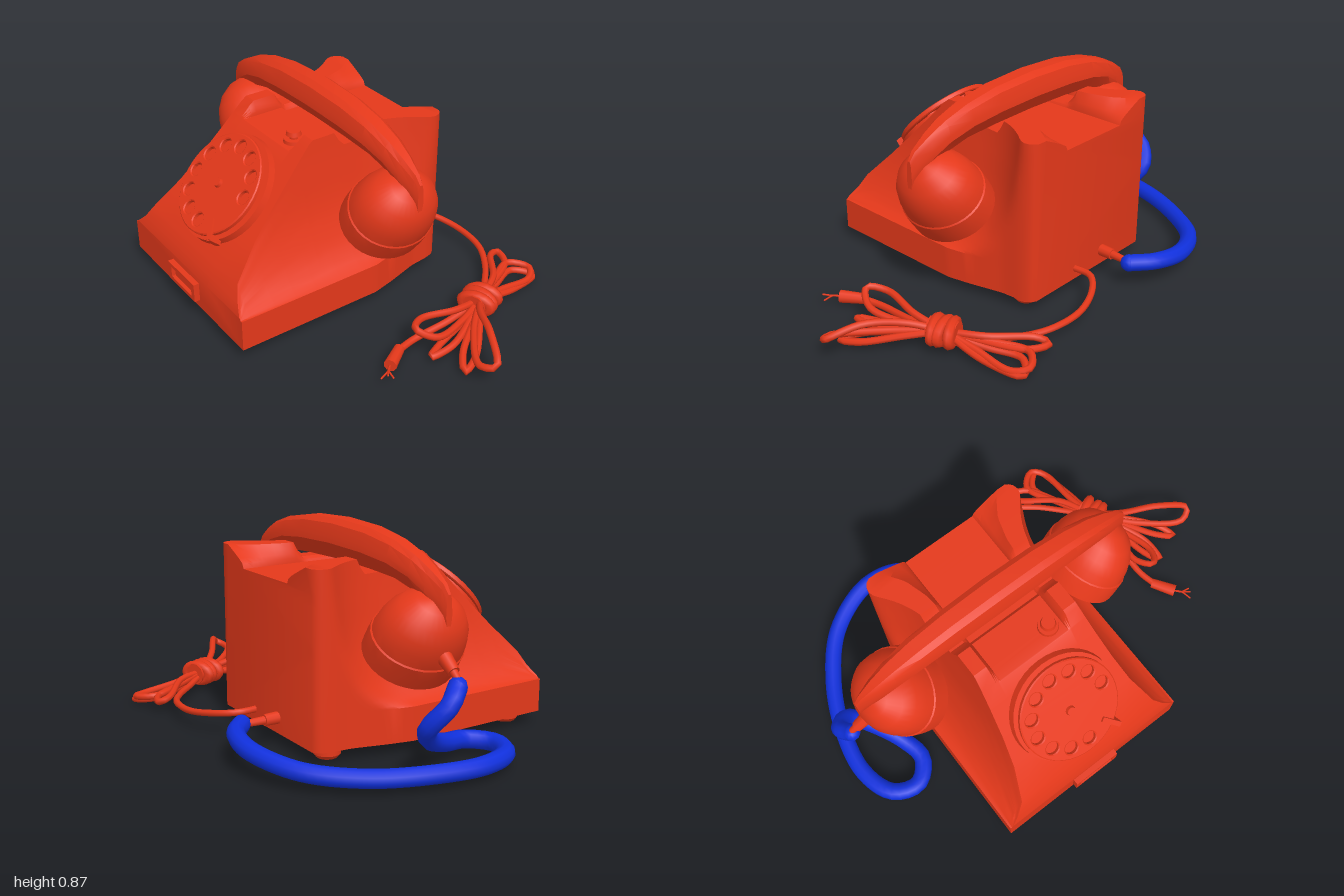
import * as THREE from 'three';
import { toCreasedNormals } from 'three/addons/utils/BufferGeometryUtils.js';

const V = (x, y, z) => new THREE.Vector3(x, y, z);
const red = new THREE.MeshStandardMaterial({ color: 0xe4381a });
const blue = new THREE.MeshStandardMaterial({ color: 0x1030dc });

function add(parent, name, geometry, material = red) {
  const mesh = new THREE.Mesh(geometry, material);
  mesh.name = name;
  parent.add(mesh);
  return mesh;
}

// piecewise linear lookup in [key, value] rows with descending keys
function lookup(rows, k) {
  if (k >= rows[0][0]) return rows[0][1];
  for (let i = 1; i < rows.length; i++) {
    const [k0, v0] = rows[i - 1], [k1, v1] = rows[i];
    if (k >= k1) return v0 + (v1 - v0) * (k0 - k) / (k0 - k1);
  }
  return rows[rows.length - 1][1];
}

// minimum with a small rounded transition
function softMin(a, b, k) {
  const t = Math.max(k - Math.abs(a - b), 0) / k;
  return Math.min(a, b) - t * t * k / 4;
}

// skin closed rings running backwards along an axis; flat() maps a ring to 2D for the caps
function loft(rings, flat, crease) {
  const n = rings[0].length, index = [];
  for (let j = 0; j < rings.length - 1; j++) {
    for (let i = 0; i < n; i++) {
      const a = j * n + i, b = j * n + (i + 1) % n;
      index.push(a, a + n, b, b, a + n, b + n);
    }
  }
  const last = (rings.length - 1) * n;
  for (const [a, b, c] of THREE.ShapeUtils.triangulateShape(rings[0].map(flat), [])) index.push(a, b, c);
  for (const [a, b, c] of THREE.ShapeUtils.triangulateShape(rings[rings.length - 1].map(flat), [])) {
    index.push(last + a, last + c, last + b);
  }
  const geometry = new THREE.BufferGeometry().setFromPoints(rings.flat());
  geometry.setIndex(index);
  return toCreasedNormals(geometry, crease);
}

// tapered round rod between two points
function rod(parent, name, a, b, ra, rb, sides = 10) {
  const mesh = add(parent, name, new THREE.CylinderGeometry(rb, ra, a.distanceTo(b), sides));
  mesh.position.copy(a).lerp(b, 0.5);
  mesh.quaternion.setFromUnitVectors(V(0, 1, 0), b.clone().sub(a).normalize());
}

function cord(parent, name, pts, r, segments, material = red, sides = 7) {
  const curve = new THREE.CatmullRomCurve3(pts.map(p => V(...p)));
  add(parent, name, new THREE.TubeGeometry(curve, segments, r, sides), material);
  for (const t of [0, 1]) {
    const end = add(parent, name + 'End', new THREE.SphereGeometry(r, sides, 6), material);
    end.position.copy(curve.getPoint(t));
  }
}

// housing: scooped sides, sloping front, cradle notch and flared rear horns
function bodyGeometry() {
  const outer = [[0, .45], [-.1, .428], [-.25, .387], [-.34, .378], [-.375, .368], [-.39, .357], [-.4, .34]];
  const top = [[.66, .2], [.64, .24], [.615, .297], [.2, .737], [.18, .752], [.075, .752], [.055, .715],
    [.03, .69], [-.11, .69], [-.13, .715], [-.15, .752]];
  const floor = [[.245, .9], [.24, .69], [.05, .69], [.04, .67], [-.4, .67]];
  const scoop = [[.75, .25], [.65, .262], [.5, .285], [.42, .304], [.35, .33], [.3, .352], [.26, .375], [.215, .41], [.19, .45]];
  const inner = [[-.1, .19], [-.2, .2], [-.3, .23], [-.36, .27], [-.4, .3]];
  const stations = [.66, .64, .615, .5, .4, .3, .245, .24, .2, .18, .075, .055, .04, .03];
  for (let i = 0; i <= 5; i++) stations.push(-.022 * i);
  stations.push(-.13, -.15);
  for (let i = 1; i <= 10; i++) stations.push(-.15 - .0225 * i);
  stations.push(-.39, -.4);
  const rings = stations.map(z => {
    const W = lookup(outer, z), h = lookup(top, z), f = Math.min(h, lookup(floor, z));
    const flare = .14 * Math.pow(Math.max(0, -z) / .35, 2.5);
    const half = [[W, .05], [W, .19]];
    for (let i = 1; i <= 16; i++) {
      const y = .19 + (h - .19) * Math.pow(i / 16, 1.4);
      half.push([softMin(W, lookup(scoop, y) + flare, .03), y]);
    }
    // concave inside of the horn
    const xi = Math.min(lookup(inner, z), half[17][0] - .01);
    for (let i = 0; i <= 4; i++) {
      const a = i / 4 * Math.PI / 2;
      half.push([.17 + (xi - .17) * (1 - Math.sin(a)), f + (h - f) * Math.cos(a) ** 1.2 * (1 - .3 * Math.sin(2 * a))]);
    }
    const mirrored = half.map(([x, y]) => [-x, y]).reverse();
    return [...half, ...mirrored].map(([x, y]) => V(x, y, z));
  });
  return loft(rings, p => new THREE.Vector2(p.x, p.y), 0.6);
}

// handle: arched bar, broad in the middle and blade-like at the ends
function handleGeometry() {
  const rows = [[.675, .675, .53, .014], [.65, .71, .55, .022], [.58, .755, .61, .042], [.5, .795, .66, .056],
    [.38, .833, .69, .067], [.22, .86, .7, .073], [0, .87, .705, .076]];
  const all = [...rows, ...rows.slice(0, -1).reverse().map(([x, ...r]) => [-x, ...r])];
  // counter-clockwise seen from +x, starting low at the back
  const section = [[-.4, 0], [.4, 0], [1, .42], [.95, .6], [.75, .88], [.4, 1], [-.4, 1], [-.75, .88], [-.95, .6], [-1, .42]];
  const rings = all.map(([x, t, b, w]) => section.map(([s, k]) => V(x, b + (t - b) * k, -.03 - s * w)));
  return loft(rings, p => new THREE.Vector2(-p.z, p.y), 0.6);
}

function buildDial() {
  const dial = new THREE.Group();
  dial.name = 'dial';
  const disc = (name, r0, r1, z0, z1) => {
    const mesh = add(dial, name, new THREE.CylinderGeometry(r1, r0, z1 - z0, 40));
    mesh.rotation.x = Math.PI / 2;
    mesh.position.z = (z0 + z1) / 2;
  };
  disc('dialBase', .245, .238, -.02, .03);
  disc('dialHub', .1, .1, .02, .06);
  const plate = new THREE.Shape().absarc(0, 0, .22, 0, Math.PI * 2);
  for (let i = 0; i < 10; i++) {
    const a = (5 + 30 * i) * Math.PI / 180;
    plate.holes.push(new THREE.Path().absarc(.172 * Math.cos(a), .172 * Math.sin(a), .034, 0, Math.PI * 2, true));
  }
  const wheel = add(dial, 'fingerWheel', toCreasedNormals(new THREE.ExtrudeGeometry(plate,
    { depth: .015, bevelEnabled: true, bevelSize: .005, bevelThickness: .004, bevelSegments: 1, curveSegments: 20 }), .6));
  wheel.position.z = .045;
  disc('dialCap', .022, .018, .06, .078);
  // finger stop hooks over the wheel rim
  const stop = add(dial, 'fingerStop', new THREE.BoxGeometry(.09, .022, .01));
  stop.position.set(.125, -.165, .072);
  stop.rotation.z = -.92;
  const post = add(dial, 'fingerStopPost', new THREE.BoxGeometry(.03, .022, .06));
  post.position.set(.147, -.194, .045);
  post.rotation.z = -.92;
  dial.position.set(0, .495, .43);
  dial.rotation.x = -.756;
  return dial;
}

export function createModel() {
  const model = new THREE.Group();
  const phone = new THREE.Group();
  phone.name = 'telephone';
  phone.position.x = -.16;
  model.add(phone);

  add(phone, 'body', bodyGeometry());
  phone.add(buildDial());

  // front label frame
  const frame = new THREE.Shape([[-.11, -.042], [.11, -.042], [.11, .042], [-.11, .042]].map(p => new THREE.Vector2(...p)));
  frame.holes.push(new THREE.Path([[-.085, -.024], [-.085, .024], [.085, .024], [.085, -.024]].map(p => new THREE.Vector2(...p))));
  add(phone, 'labelFrame', new THREE.ExtrudeGeometry(frame, { depth: .027, bevelEnabled: false })).position.set(0, .132, .658);
  add(phone, 'label', new THREE.BoxGeometry(.15, .036, .02)).position.set(0, .132, .662);

  // button on the top plate
  rod(phone, 'buttonBase', V(.115, .685, .18), V(.115, .705, .18), .045, .042, 20);
  rod(phone, 'buttonStem', V(.115, .7, .18), V(.115, .725, .18), .018, .018, 16);
  rod(phone, 'buttonCap', V(.115, .722, .18), V(.115, .74, .18), .033, .028, 20);

  // feet
  for (const s of [-1, 1]) {
    for (const [x, z] of [[.34, .57], [.29, -.3]]) {
      rod(phone, 'foot', V(s * x, .015, z), V(s * x, .055, z), .055, .055, 16);
      rod(phone, 'footPad', V(s * x, 0, z), V(s * x, .015, z), .043, .055, 16);
    }
  }

  // handset
  const handset = new THREE.Group();
  handset.name = 'handset';
  phone.add(handset);
  add(handset, 'handle', handleGeometry());
  const cupProfile = [[0, .012], [.13, .012], [.16, 0], [.172, .004], [.173, .05], [.172, .1], [.167, .105],
    [.161, .15], [.147, .2], [.118, .25], [.07, .29], [0, .312]].map(p => new THREE.Vector2(...p));
  const cupGeometry = toCreasedNormals(new THREE.LatheGeometry(cupProfile, 32), .6);
  for (const s of [-1, 1]) {
    const cup = add(handset, s > 0 ? 'leftCup' : 'rightCup', cupGeometry);
    cup.position.set(s * .442, .398, -.03);
    cup.rotation.z = -s * .607;
    cup.scale.z = 1.14;
  }

  // handset cord with its two strain reliefs
  rod(model, 'cupStrainRelief', V(-.8, .45, -.03), V(-.875, .4, -.035), .032, .024);
  rod(model, 'cupCordTip', V(-.87, .403, -.035), V(-.915, .37, -.04), .017, .013);
  cord(model, 'handsetCord', [[-.905, .355, -.04], [-.935, .3, -.1], [-.88, .21, -.15], [-.81, .13, -.08],
    [-.74, .075, .05], [-.72, .06, .16], [-.8, .055, .24], [-.91, .055, .2], [-.962, .055, .05], [-.925, .055, -.17],
    [-.83, .055, -.38], [-.68, .07, -.56], [-.47, .1, -.648], [-.32, .115, -.625], [-.235, .115, -.555]], .037, 70, blue, 10);
  rod(model, 'bodyStrainRelief', V(-.245, .115, -.39), V(-.245, .115, -.46), .026, .024);
  rod(model, 'bodyCordTip', V(-.245, .115, -.45), V(-.24, .115, -.56), .018, .014);

  // line cord leading to a tied bundle
  cord(model, 'lineCord', [[-.065, .1, -.38], [-.065, .1, -.48], [0, .09, -.545], [.14, .07, -.595], [.3, .06, -.58],
    [.42, .05, -.51], [.53, .05, -.4], [.61, .07, -.3]], .014, 40);
  const knot = [.61, .075, -.3];
  const loops = [
    [[.53, .08, -.45], [.38, .06, -.58], [.37, .05, -.63], [.45, .05, -.6], [.55, .06, -.42]],
    [[.52, .06, -.47], [.46, .05, -.61], [.53, .04, -.67], [.58, .03, -.62], [.59, .05, -.45]],
    [[.54, .04, -.46], [.49, .03, -.6], [.56, .02, -.665], [.6, .03, -.5]],
    [[.72, .12, -.2], [.86, .145, -.12], [.985, .1, -.04], [.93, .08, -.01], [.76, .07, -.13]],
    [[.7, .06, -.18], [.8, .04, -.04], [.87, .02, .01], [.84, .03, -.07], [.72, .06, -.2]],
    [[.63, .1, -.15], [.61, .12, .02], [.66, .13, .09], [.71, .09, .02], [.67, .07, -.15]],
    [[.66, .05, -.16], [.7, .03, 0], [.735, .03, .07], [.74, .04, -.04], [.68, .06, -.18]],
  ];
  for (const loop of loops) cord(model, 'bundleLoop', [knot, ...loop, knot], .015, 36);
  cord(model, 'lineCordTail', [knot, [.62, .05, -.12], [.615, .035, .06], [.635, .035, .16]], .015, 20);

  // thick wraps around the bundle
  const axis = V(.38, 0, .92).normalize();
  rod(model, 'bundleKnot', V(...knot).addScaledVector(axis, -.06), V(...knot).addScaledVector(axis, .06), .05, .05, 10);
  for (const [d, tilt] of [[-.035, .12], [0, -.1], [.035, .08]]) {
    const wrap = add(model, 'bundleWrap', new THREE.TorusGeometry(.046, .023, 8, 18));
    wrap.position.set(...knot).addScaledVector(axis, d);
    wrap.quaternion.setFromUnitVectors(V(0, 0, 1), axis);
    wrap.rotateY(tilt);
    wrap.scale.set(1.25, .85, 1);
  }

  // cable end with bare wires
  rod(model, 'cableSleeve', V(.625, .035, .14), V(.685, .035, .235), .022, .027);
  for (const [x, y, z] of [[.745, .03, .265], [.735, .045, .285], [.72, .03, .305]]) {
    cord(model, 'bareWire', [[.68, .035, .23], [.705, .037, .258], [x, y, z]], .004, 8, red, 5);
  }
  return model;
}
